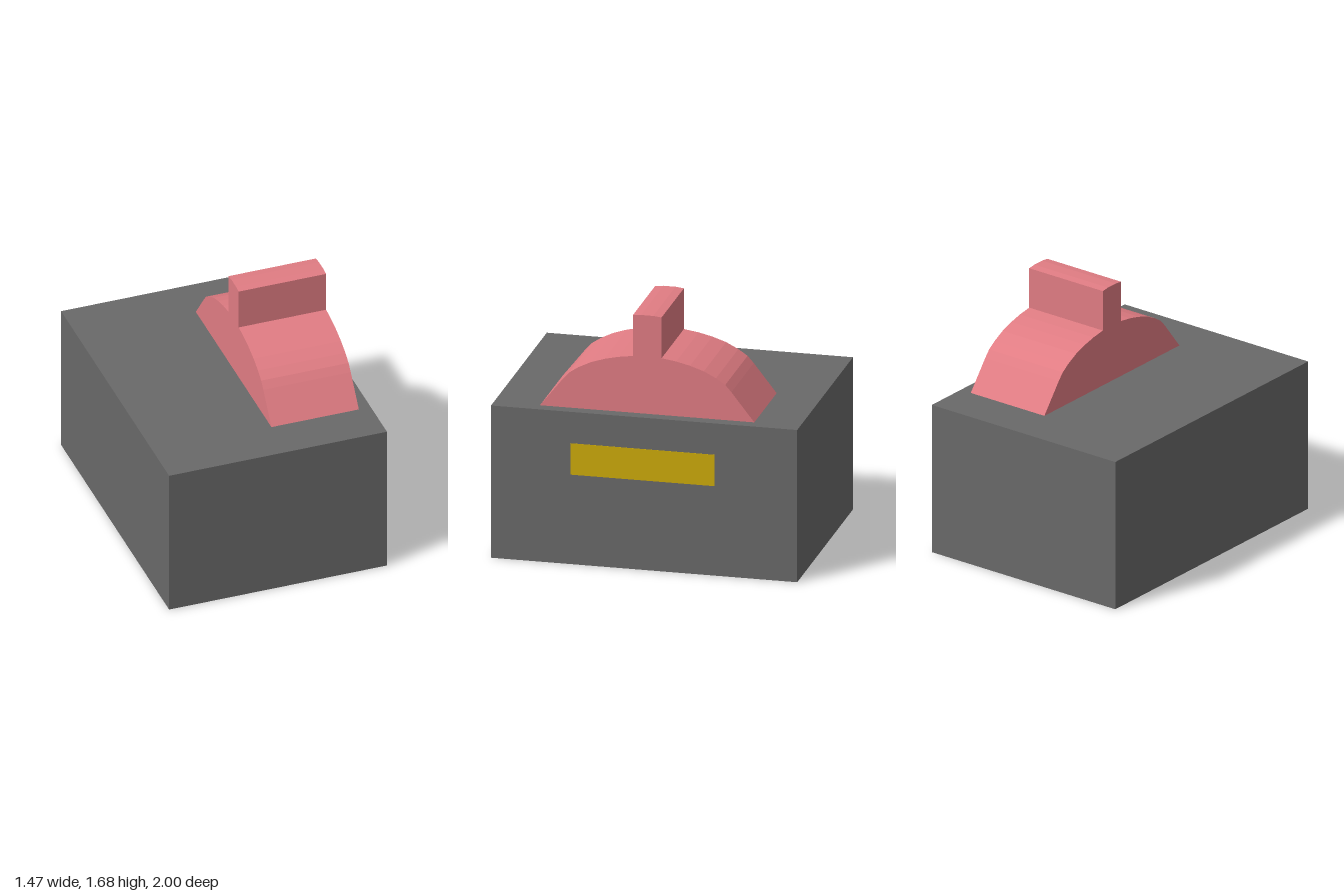
import * as THREE from 'three';

const W = 1.47, H = 1.02, D = 2;

export function createModel() {
  const model = new THREE.Group();
  const add = (name, geometry, color) => {
    const material = new THREE.MeshStandardMaterial({ color });
    const mesh = new THREE.Mesh(geometry, material);
    mesh.name = name;
    model.add(mesh);
    return mesh;
  };

  // Box-shaped base
  add('base', new THREE.BoxGeometry(W, H, D), 0x696969).position.y = H / 2;

  // Thin panel on the left side
  add('sidePanel', new THREE.BoxGeometry(0.004, 0.21, 0.94), 0xccaa0a)
    .position.set(W / 2, 0.705, 0.01);

  // Domed rocker with an upright grip: half profile, mirrored
  const half = [
    [0.70, H], [0.55, 1.21], [0.51, 1.255], [0.45, 1.295], [0.37, 1.335],
    [0.28, 1.365], [0.19, 1.386], [0.094, 1.4], [0.094, 1.673], [0.04, 1.679],
  ];
  const profile = [...half, ...half.slice().reverse().map(([u, y]) => [-u, y])]
    .map(([u, y]) => new THREE.Vector2(u, y));
  const rocker = new THREE.ExtrudeGeometry(new THREE.Shape(profile), {
    depth: 0.59, bevelEnabled: false,
  });
  rocker.rotateY(Math.PI / 2);
  add('rockerHandle', rocker, 0xe07c83).position.x = 0.065;

  return model;
}
